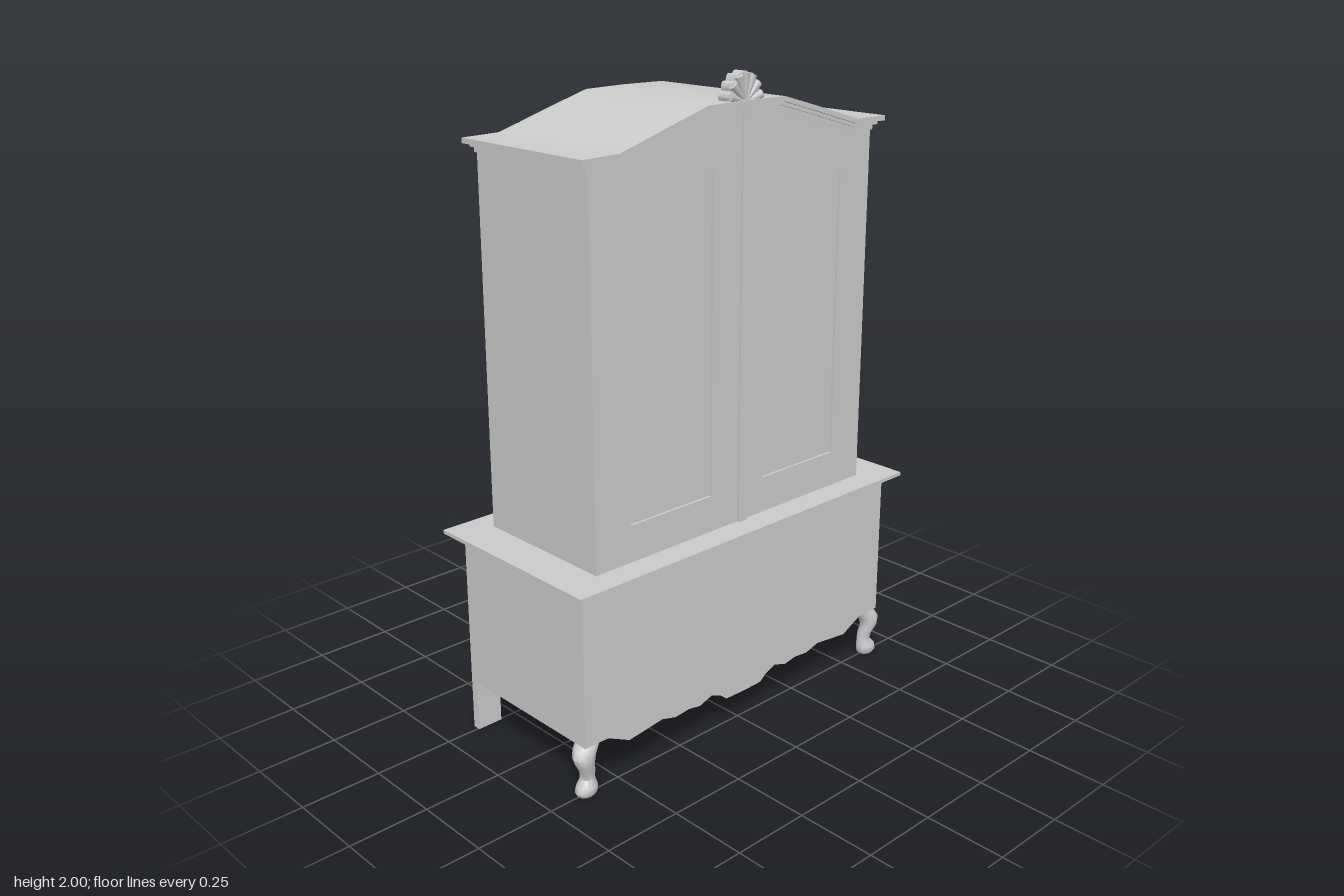
import * as THREE from 'three';
import { toCreasedNormals } from 'three/addons/utils/BufferGeometryUtils.js';

const material = new THREE.MeshStandardMaterial({ color: 0xcccccc });

// Right half of the arched top line: [x, y]
const ARCH = [[0, 1.922], [0.15, 1.92], [0.28, 1.883], [0.4, 1.847], [0.47, 1.827], [0.6, 1.825]];

function archY(x) {
  const a = Math.abs(x);
  const i = Math.max(1, ARCH.findIndex((p) => p[0] >= a));
  const [x0, y0] = ARCH[i - 1], [x1, y1] = ARCH[i];
  return y0 + (y1 - y0) * (a - x0) / (x1 - x0);
}

// Points along the arch between two x values, lowered by drop
function archLine(from, to, drop) {
  const inner = ARCH.flatMap(([x]) => [x, -x]).filter((x) => x > from && x < to);
  const xs = [...new Set([from, ...inner, to].map((x) => x + 0))].sort((a, b) => a - b);
  return xs.map((x) => new THREE.Vector2(x, archY(x) - drop));
}

function addMesh(group, name, geometry, x = 0, y = 0, z = 0) {
  const mesh = new THREE.Mesh(geometry, material);
  mesh.name = name;
  mesh.position.set(x, y, z);
  group.add(mesh);
  return mesh;
}

function addBox(group, name, x0, x1, y0, y1, z0, z1) {
  return addMesh(group, name, new THREE.BoxGeometry(x1 - x0, y1 - y0, z1 - z0),
    (x0 + x1) / 2, (y0 + y1) / 2, (z0 + z1) / 2);
}

function addSlab(group, name, shape, z0, z1) {
  const geometry = new THREE.ExtrudeGeometry(shape, { depth: z1 - z0, bevelEnabled: false });
  return addMesh(group, name, toCreasedNormals(geometry, 0.5), 0, 0, z0);
}

// Arched board standing on a flat bottom
function archedBoard(from, to, bottom, drop) {
  return new THREE.Shape([
    new THREE.Vector2(from, bottom), new THREE.Vector2(to, bottom),
    ...archLine(from, to, drop).reverse(),
  ]);
}

// Arched strip of even thickness
function archedStrip(half, drop, thickness) {
  return new THREE.Shape([
    ...archLine(-half, half, drop + thickness), ...archLine(-half, half, drop).reverse(),
  ]);
}

// Lofted solid through round sections [y, x, z, rx, rz]
function loft(sections, sides) {
  const positions = [], index = [];
  for (const [y, x, z, rx, rz] of sections) {
    for (let i = 0; i < sides; i++) {
      const a = (i / sides) * Math.PI * 2;
      positions.push(x + rx * Math.cos(a), y, z + rz * Math.sin(a));
    }
  }
  for (let r = 0; r < sections.length - 1; r++) {
    for (let i = 0; i < sides; i++) {
      const a = r * sides + i, b = r * sides + (i + 1) % sides;
      index.push(a, a + sides, b, b, a + sides, b + sides);
    }
  }
  const last = (sections.length - 1) * sides;
  for (let i = 1; i < sides - 1; i++) {
    index.push(0, i, i + 1, last, last + i + 1, last + i);
  }
  const geometry = new THREE.BufferGeometry();
  geometry.setAttribute('position', new THREE.Float32BufferAttribute(positions, 3));
  geometry.setIndex(index);
  return toCreasedNormals(geometry, 0.9);
}

function createBase() {
  const base = new THREE.Group();
  base.name = 'base';
  addBox(base, 'chest', -0.64, 0.64, 0.165, 0.65, -0.27, 0.275);
  addBox(base, 'counterTop', -0.68, 0.68, 0.65, 0.662, -0.32, 0.32);

  // Scalloped apron under the front
  const half = [[0, 0.1], [0.075, 0.102], [0.1, 0.122], [0.14, 0.138], [0.19, 0.122], [0.235, 0.13],
    [0.29, 0.125], [0.345, 0.14], [0.41, 0.132], [0.475, 0.125], [0.515, 0.145], [0.56, 0.167]];
  const edge = [...half.slice(1).reverse().map(([x, y]) => [-x, y]), ...half];
  addSlab(base, 'apron', new THREE.Shape(edge.map(([x, y]) => new THREE.Vector2(x, y))), 0.25, 0.275);

  // Curved front legs and plain back legs
  const legSections = [
    [0, 0.622, 0.25, 0.028, 0.024], [0.012, 0.622, 0.252, 0.036, 0.03], [0.03, 0.62, 0.252, 0.034, 0.029],
    [0.05, 0.613, 0.247, 0.023, 0.021], [0.075, 0.615, 0.25, 0.024, 0.023], [0.105, 0.628, 0.256, 0.03, 0.027],
    [0.13, 0.628, 0.253, 0.037, 0.031], [0.15, 0.615, 0.245, 0.04, 0.034], [0.168, 0.602, 0.24, 0.038, 0.034],
  ];
  for (const [side, s] of [['left', 1], ['right', -1]]) {
    const sections = legSections.map(([y, x, ...rest]) => [y, s * x, ...rest]);
    addMesh(base, side + 'FrontLeg', loft(sections, 12));
    addBox(base, side + 'BackLeg', s * 0.5975 - 0.0425, s * 0.5975 + 0.0425, 0, 0.165, -0.27, -0.245);
  }
  return base;
}

function createCabinet() {
  const cabinet = new THREE.Group();
  cabinet.name = 'cabinet';
  addSlab(cabinet, 'carcass', archedBoard(-0.555, 0.555, 0.662, 0.02), -0.24, 0.228);

  // Doors with recessed slant-topped panels
  for (const [name, s] of [['leftDoor', 1], ['rightDoor', -1]]) {
    const door = s > 0 ? archedBoard(0, 0.555, 0.662, 0.02) : archedBoard(-0.555, 0, 0.662, 0.02);
    const panel = [[0.108, 0.775], [0.108, 1.735], [0.425, 1.67], [0.425, 0.775]];
    door.holes.push(new THREE.Path(panel.map(([x, y]) => new THREE.Vector2(s * x, y))));
    addSlab(cabinet, name, door, 0.228, 0.236);
  }
  addBox(cabinet, 'meetingStrip', 0, 0.033, 0.662, 1.905, 0.23, 0.245);

  // Cornice: wide cap over two stepped mouldings
  addSlab(cabinet, 'corniceCap', archedStrip(0.595, 0, 0.015), -0.253, 0.26);
  addSlab(cabinet, 'corniceMoulding', archedStrip(0.575, 0.014, 0.012), -0.246, 0.247);
  addSlab(cabinet, 'corniceCove', archedStrip(0.563, 0.024, 0.018), -0.241, 0.238);
  return cabinet;
}

function createShell() {
  const shell = new THREE.Group();
  shell.name = 'shellCrest';
  const lobes = 7, steps = 6, baseY = 1.915;
  const rim = (t, k) => {
    const a = t * Math.PI;
    return new THREE.Vector2(Math.cos(a) * 0.066 * k, baseY + Math.sin(a) * 0.085 * k);
  };
  // Scalloped body
  const outline = [];
  for (let i = 0; i <= lobes * steps; i++) {
    const bulge = Math.abs(Math.sin((i / steps) * Math.PI));
    outline.push(rim(i / (lobes * steps), 0.88 + 0.12 * bulge));
  }
  addSlab(shell, 'shellBody', new THREE.Shape(outline), 0.207, 0.25);

  // Raised ribs fanning out from the foot
  for (let i = 0; i < lobes; i++) {
    const tip = rim((i + 0.5) / lobes, 0.95);
    const dx = tip.x, dy = tip.y - baseY, length = Math.hypot(dx, dy);
    const rib = addMesh(shell, 'shellRib', new THREE.CylinderGeometry(0.014, 0.004, length, 8),
      dx / 2, baseY + dy / 2, 0.249);
    rib.scale.z = 0.8;
    rib.rotation.z = Math.atan2(dy, dx) - Math.PI / 2;
  }
  return shell;
}

export function createModel() {
  const model = new THREE.Group();
  model.name = 'cupboard';
  model.add(createBase(), createCabinet(), createShell());
  return model;
}
